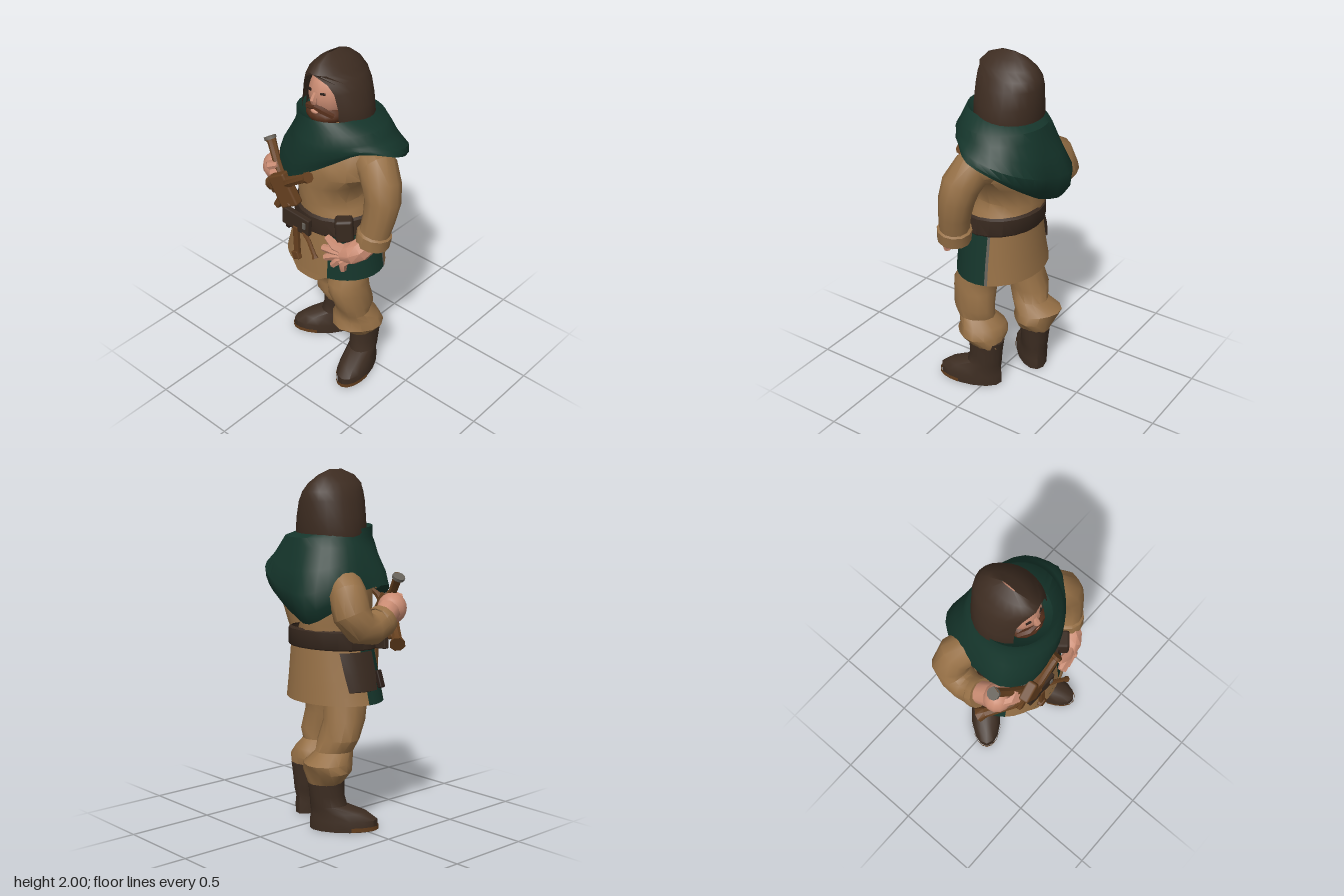
import * as THREE from 'three';
import { toCreasedNormals } from 'three/addons/utils/BufferGeometryUtils.js';
import { RoundedBoxGeometry } from 'three/addons/geometries/RoundedBoxGeometry.js';

const RAD = Math.PI / 180;
const V = (x, y, z) => new THREE.Vector3(x, y, z);
const material = (name, color, side = THREE.FrontSide) =>
  Object.assign(new THREE.MeshStandardMaterial({ color, side }), { name });

const tan = material('tan cloth', 0x967046, THREE.DoubleSide);
const green = material('green cloth', 0x15352b, THREE.DoubleSide);
const hoodBrown = material('hood brown', 0x3d2c21, THREE.DoubleSide);
const boot = material('boot leather', 0x3d2d22, THREE.DoubleSide);
const belt = material('belt leather', 0x38291f, THREE.DoubleSide);
const skin = material('skin', 0xc98b72);
const hair = material('hair', 0x57301c);
const wood = material('wood', 0x66401f, THREE.DoubleSide);
const metal = material('metal', 0x666159, THREE.DoubleSide);
const dark = material('dark', 0x2a1d17);

// Horizontal elliptical section; angle 0 faces the front, 90 degrees is +x
function ring([cx, y, cz, rx, rz, tilt = 0], n = 14, a0 = 0, a1 = 360, wobble = 0) {
  const open = a1 - a0 < 360;
  return Array.from({ length: n }, (_, i) => {
    const a = (a0 + (a1 - a0) * i / (open ? n - 1 : n)) * RAD;
    const k = 1 + wobble * Math.sin(3 * a + y * 25);
    return V(cx + rx * k * Math.sin(a), y - tilt * Math.cos(a), cz + rz * k * Math.cos(a));
  });
}

// Skin over a list of sections, with optional end caps
function loft(rings, closed = true, caps = false, crease = 0.75) {
  const n = rings[0].length, pts = rings.flat(), index = [];
  for (let r = 0; r < rings.length - 1; r++) {
    for (let i = 0; i < (closed ? n : n - 1); i++) {
      const a = r * n + i, b = r * n + (i + 1) % n;
      index.push(a, b, a + n, b, b + n, a + n);
    }
  }
  if (caps) {
    [0, rings.length - 1].forEach((r) => {
      const mid = rings[r].reduce((s, p) => s.add(p), V(0, 0, 0)).divideScalar(n);
      const c = pts.push(mid) - 1;
      for (let i = 0; i < n; i++) {
        const a = r * n + i, b = r * n + (i + 1) % n;
        index.push(...(r ? [c, a, b] : [c, b, a]));
      }
    });
  }
  const g = new THREE.BufferGeometry().setFromPoints(pts);
  g.setIndex(index);
  return toCreasedNormals(g, crease);
}

// Round limb through [x, y, z, radius] stations
function limb(stations, n = 10, ref = V(1, 0, 0)) {
  const c = stations.map((s) => V(s[0], s[1], s[2]));
  return loft(stations.map((s, k) => {
    const t = c[Math.min(k + 1, c.length - 1)].clone().sub(c[Math.max(k - 1, 0)]).normalize();
    const u = ref.clone().addScaledVector(t, -ref.dot(t)).normalize();
    const v = t.clone().cross(u);
    return Array.from({ length: n }, (_, i) => {
      const a = i / n * Math.PI * 2;
      return c[k].clone().addScaledVector(u, s[3] * Math.cos(a)).addScaledVector(v, s[3] * Math.sin(a));
    });
  }), true, true);
}

export function createModel() {
  const model = new THREE.Group();
  const add = (name, geometry, mat, parent = model) => {
    const m = new THREE.Mesh(geometry, mat);
    m.name = name;
    parent.add(m);
    return m;
  };
  const ball = (name, mat, [x, y, z], [sx, sy, sz]) =>
    add(name, new THREE.SphereGeometry(1, 14, 10).scale(sx, sy, sz).translate(x, y, z), mat);
  const box = (name, mat, [x, y, z], [w, h, d], rz = 0, ry = 0) => {
    const m = add(name, new RoundedBoxGeometry(w, h, d, 1, Math.min(w, h, d) * 0.2), mat);
    m.position.set(x, y, z);
    m.rotation.set(0, ry, rz);
    return m;
  };

  // Boots, toes turned outward, with a welt round the toe
  [['leftBoot', 0.185, 0.01, 14], ['rightBoot', -0.125, -0.125, -47]].forEach(([name, x, z, yaw]) => {
    const g = new THREE.Group();
    g.name = name;
    g.position.set(x, 0, z);
    g.rotation.y = yaw * RAD;
    model.add(g);
    add('welt', loft([[0, 0.004, 0.1, 0.096, 0.197], [0, 0.028, 0.1, 0.097, 0.198]].map((s) => ring(s, 9, -75, 75)), false), wood, g);
    add('bootUpper', loft([[0, 0, 0.1, 0.09, 0.19], [0, 0.06, 0.1, 0.092, 0.19], [0, 0.1, 0.075, 0.083, 0.16],
      [0, 0.14, 0.015, 0.08, 0.105], [0, 0.2, 0.005, 0.083, 0.098], [0, 0.3, 0, 0.092, 0.106]]
      .map((s) => ring(s)), true, true), boot, g);
  });

  // Baggy trousers gathered over the boot tops
  const legs = {
    leftTrouser: [[0.18, 0.27, 0.02, 0.092, 0.105], [0.165, 0.34, 0.055, 0.148, 0.148], [0.16, 0.39, 0.06, 0.135, 0.13],
      [0.165, 0.44, 0.09, 0.1, 0.105], [0.168, 0.5, 0.1, 0.112, 0.12], [0.15, 0.6, 0.115, 0.11, 0.13],
      [0.145, 0.66, 0.115, 0.11, 0.13], [0.14, 0.73, 0.085, 0.107, 0.118], [0.12, 0.88, 0.05, 0.1, 0.1]],
    rightTrouser: [[-0.125, 0.27, -0.12, 0.092, 0.105], [-0.135, 0.34, -0.12, 0.146, 0.13], [-0.14, 0.39, -0.13, 0.138, 0.138],
      [-0.14, 0.45, -0.08, 0.105, 0.105], [-0.165, 0.52, -0.06, 0.12, 0.115], [-0.16, 0.62, -0.02, 0.117, 0.12],
      [-0.15, 0.74, 0, 0.118, 0.13], [-0.13, 0.88, 0.02, 0.1, 0.12]],
  };
  for (const [name, s] of Object.entries(legs)) {
    add(name, loft(s.map((q) => ring(q, 14, 0, 360, q[1] < 0.56 ? 0.055 : 0.02)), true, true), tan);
  }

  // Tunic skirt in tan and green panels, with a lined flap at the front
  const skirt = [[-0.02, 0.72, 0.035, 0.31, 0.245], [-0.012, 0.85, 0.035, 0.282, 0.235], [-0.005, 1.03, 0.03, 0.248, 0.222]];
  [['skirtFront', tan, 305, 385, 8], ['skirtLeftPanel', green, 25, 107, 8], ['panelEdging', metal, 107, 111, 2],
    ['skirtBack', tan, 111, 265, 12], ['skirtRightPanel', green, 265, 305, 5]].forEach(([name, mat, a0, a1, n]) =>
    add(name, loft(skirt.map((s) => ring(s, n, a0, a1)), false), mat));
  [['frontFlap', tan, 0], ['flapLining', green, 0.006]].forEach(([name, mat, inset]) =>
    add(name, loft([ring([-0.02, 0.685, 0.037, 0.314, 0.248 - inset], 6, 345, 372),
      ring([-0.02, 0.725, 0.035, 0.31, 0.246 - inset], 6, 333, 385)], false), mat));

  // Torso
  add('torso', loft([[-0.01, 1, 0.03, 0.24, 0.215], [-0.035, 1.11, 0.02, 0.19, 0.22], [-0.045, 1.16, 0.02, 0.177, 0.222],
    [-0.035, 1.27, 0.02, 0.202, 0.225], [0, 1.35, 0.02, 0.25, 0.222], [0, 1.42, 0.015, 0.25, 0.215],
    [0, 1.5, 0, 0.25, 0.18], [0, 1.58, -0.01, 0.17, 0.14]].map((s) => ring(s, 16)), true, true), tan);

  // Belt, buckle and things hung from it
  add('belt', loft([[-0.005, 1.01, 0.03, 0.25, 0.232, 0.015], [-0.005, 1.02, 0.03, 0.258, 0.24, 0.015],
    [-0.005, 1.11, 0.025, 0.25, 0.238, 0.015], [-0.005, 1.12, 0.025, 0.235, 0.22, 0.015]].map((s) => ring(s, 20))), belt);
  box('buckle', belt, [-0.09, 1.035, 0.28], [0.2, 0.11, 0.035], -0.06);
  box('buckleTongue', metal, [-0.02, 1.04, 0.3], [0.02, 0.04, 0.01]);
  box('leftPouch', belt, [0.19, 1.07, 0.2], [0.1, 0.14, 0.08], 0.06, 0.7);
  add('rightPouch', loft([[-0.012, 0.79, 0.035, 0.29, 0.235], [-0.014, 0.8, 0.035, 0.318, 0.262],
    [-0.012, 0.9, 0.035, 0.298, 0.262], [-0.008, 1.01, 0.035, 0.265, 0.242]]
    .map((s, k) => ring(s, 6, 242 - 3 * k, 276 + 2 * k)), false), belt);
  box('knifeSheath', dark, [-0.298, 0.85, 0.12], [0.03, 0.1, 0.035], -0.35);
  box('hangingStrap', wood, [-0.085, 0.9, 0.29], [0.035, 0.21, 0.025], 0.03);
  box('strapEnd', wood, [-0.085, 0.81, 0.295], [0.05, 0.05, 0.03], 0.4);
  add('beltLoop', limb([[-0.04, 0.99, 0.285, 0.013], [0.02, 0.965, 0.305, 0.013], [0.08, 0.905, 0.325, 0.013],
    [0.09, 0.89, 0.328, 0.02]], 6), wood);

  // Sleeves with rolled cuffs
  add('leftSleeve', limb([[0.2, 1.43, 0.01, 0.11], [0.28, 1.425, 0.035, 0.11], [0.335, 1.35, 0.065, 0.108], [0.355, 1.27, 0.08, 0.1],
    [0.35, 1.17, 0.1, 0.09], [0.335, 1.08, 0.115, 0.085], [0.333, 1.07, 0.115, 0.098], [0.325, 1, 0.125, 0.095]], 12), tan);
  add('rightSleeve', limb([[-0.2, 1.4, -0.07, 0.1], [-0.31, 1.33, -0.13, 0.105], [-0.35, 1.24, -0.14, 0.105],
    [-0.365, 1.17, -0.09, 0.097], [-0.37, 1.155, -0.01, 0.09], [-0.37, 1.18, 0.05, 0.084],
    [-0.37, 1.185, 0.055, 0.09], [-0.365, 1.2, 0.085, 0.086]], 12), tan);

  // Left hand resting on the hip
  add('leftPalm', limb([[0.325, 1.02, 0.13, 0.06], [0.29, 0.97, 0.185, 0.066], [0.25, 0.945, 0.215, 0.066], [0.2, 0.93, 0.24, 0.045]], 8), skin);
  [[0.11, 1.01, 0.255], [0.095, 0.94, 0.275], [0.115, 0.885, 0.28], [0.165, 0.85, 0.27], [0.225, 0.835, 0.25]].forEach(([x, y, z], i) =>
    add('leftFinger', limb([[0.25, 0.95 - i * 0.008, 0.225, 0.032], [(x + 0.23) / 2, (y + 0.95) / 2, 0.258, 0.03], [x, y, z, 0.018]], 6, V(0, 0, 1)), skin));

  // Right hand gripping the handle
  add('rightWrist', limb([[-0.37, 1.2, 0.06, 0.06], [-0.345, 1.235, 0.14, 0.07]], 9), skin);
  ball('rightPalm', skin, [-0.33, 1.245, 0.18], [0.085, 0.085, 0.08]);
  for (let i = 0; i < 4; i++) {
    const x = -0.305 + i * 0.022, y = 1.295 - i * 0.035;
    add('rightFinger', limb([[x - 0.05, y - 0.03, 0.21, 0.03], [x, y, 0.258, 0.027], [x + 0.045, y + 0.02, 0.245, 0.018]], 6, V(0, 0, 1)), skin);
  }

  // Handle with a pommel, its holder, and the crossed horn
  add('handle', limb([[-0.37, 1.42, 0.19, 0.033], [-0.35, 1.4, 0.195, 0.026], [-0.29, 1.33, 0.225, 0.024], [-0.12, 1.13, 0.29, 0.025]], 8), wood);
  add('pommel', limb([[-0.374, 1.425, 0.188, 0.036], [-0.365, 1.41, 0.19, 0.036]], 10), metal);
  box('holder', wood, [-0.17, 1.21, 0.285], [0.12, 0.2, 0.06], 0.5, 0.15);
  add('horn', limb([[-0.43, 1.06, 0.125, 0.045], [-0.4, 1.08, 0.15, 0.03], [-0.28, 1.15, 0.25, 0.028], [-0.12, 1.29, 0.295, 0.03],
    [0, 1.365, 0.295, 0.024], [0.005, 1.368, 0.295, 0.032], [0.02, 1.378, 0.297, 0.032]], 8), wood);
  box('hornPeg', wood, [-0.23, 1.1, 0.265], [0.04, 0.1, 0.04], -0.5);

  // Head, with beard and eyes
  ball('head', skin, [-0.03, 1.79, 0.05], [0.118, 0.15, 0.135]);
  add('nose', limb([[-0.033, 1.82, 0.172, 0.012], [-0.035, 1.78, 0.19, 0.02], [-0.035, 1.76, 0.182, 0.016]], 6), skin);
  ball('beard', hair, [-0.03, 1.685, 0.1], [0.112, 0.062, 0.102]);
  ball('lip', skin, [-0.033, 1.713, 0.186], [0.025, 0.012, 0.012]);
  for (const s of [-1, 1]) {
    const x = -0.033;
    add('moustache', limb([[x, 1.742, 0.185, 0.015], [x + s * 0.045, 1.732, 0.178, 0.021], [x + s * 0.09, 1.695, 0.14, 0.016]], 6, V(0, 1, 0)), hair);
    add('sideburn', limb([[x + s * 0.1, 1.69, 0.07, 0.03], [x + s * 0.112, 1.78, 0.07, 0.014]], 6), hair);
    box('eye', dark, [x + s * 0.045, 1.824, 0.17], [0.03, 0.012, 0.009], 0, s * 0.35);
  }

  // Hood: sections open round the face, closing to a peak
  const hood = [[-0.03, 1.6, -0.01, 0.195, 0.17, 38], [-0.03, 1.66, 0, 0.205, 0.19, 40], [-0.03, 1.74, 0, 0.19, 0.193, 42],
    [-0.035, 1.83, 0, 0.168, 0.192, 40], [-0.04, 1.88, 0.003, 0.142, 0.187, 33], [-0.043, 1.925, 0.015, 0.108, 0.172, 0],
    [-0.048, 1.968, 0.02, 0.06, 0.125, 0], [-0.05, 2, 0.015, 0.004, 0.045, 0]];
  add('hood', loft(hood.map(([cx, y, cz, rx, rz, a]) => ring([cx, y, cz, rx, rz], 21, a, 359.999 - a)), false, false, 0.9), hoodBrown);
  add('hoodLining', loft(hood.slice(0, 5).map(([cx, y, cz, rx, rz, a]) =>
    ring([cx, y - 0.008, cz - 0.008, rx - 0.018, rz - 0.012], 20, a, 360 - a)), false), hoodBrown);

  // Green cowl: [radius, height] of the lower edge every 30 degrees from the front
  const hem = [[0.275, 1.39], [0.255, 1.47], [0.285, 1.54], [0.368, 1.51], [0.345, 1.41], [0.275, 1.29],
    [0.245, 1.21], [0.315, 1.18], [0.325, 1.27], [0.318, 1.36], [0.355, 1.37], [0.315, 1.3]];
  const curve = new THREE.CatmullRomCurve3(hem.map(([r, y], i) =>
    V(r * Math.sin(i * 30 * RAD), y, r * Math.cos(i * 30 * RAD))), true);
  const N = 36;
  const edge = Array.from({ length: N }, (_, i) => curve.getPoint(i / N));
  const collar = ring([0.008, 1.585, 0.01, 0.27, 0.262], N, 0, 360, 0.03);
  // The back of the cowl sags outward by the amount sag
  const blend = (t, k, sag = 0, dy = 0) => edge.map((p, i) => {
    const q = collar[i].clone().lerp(p, t), f = k + sag * Math.max(0, -p.z / 0.28);
    return V(q.x * (1 + (f - 1) * 0.6), q.y + dy, q.z * f);
  });
  add('cowl', loft([blend(1, 0.85, 0, 0.03), edge, blend(0.85, 1.02, 0.16), blend(0.6, 1.05, 0.24), blend(0.3, 1.02, 0.12), collar,
    ring([0.008, 1.635, 0.01, 0.246, 0.24], N, 0, 360, 0.02), ring([-0.035, 1.682, 0.04, 0.19, 0.2, -0.015], N),
    ring([-0.03, 1.64, 0.03, 0.15, 0.16], N), ring([-0.03, 1.58, 0.02, 0.08, 0.08], N)]), green);

  return model;
}
